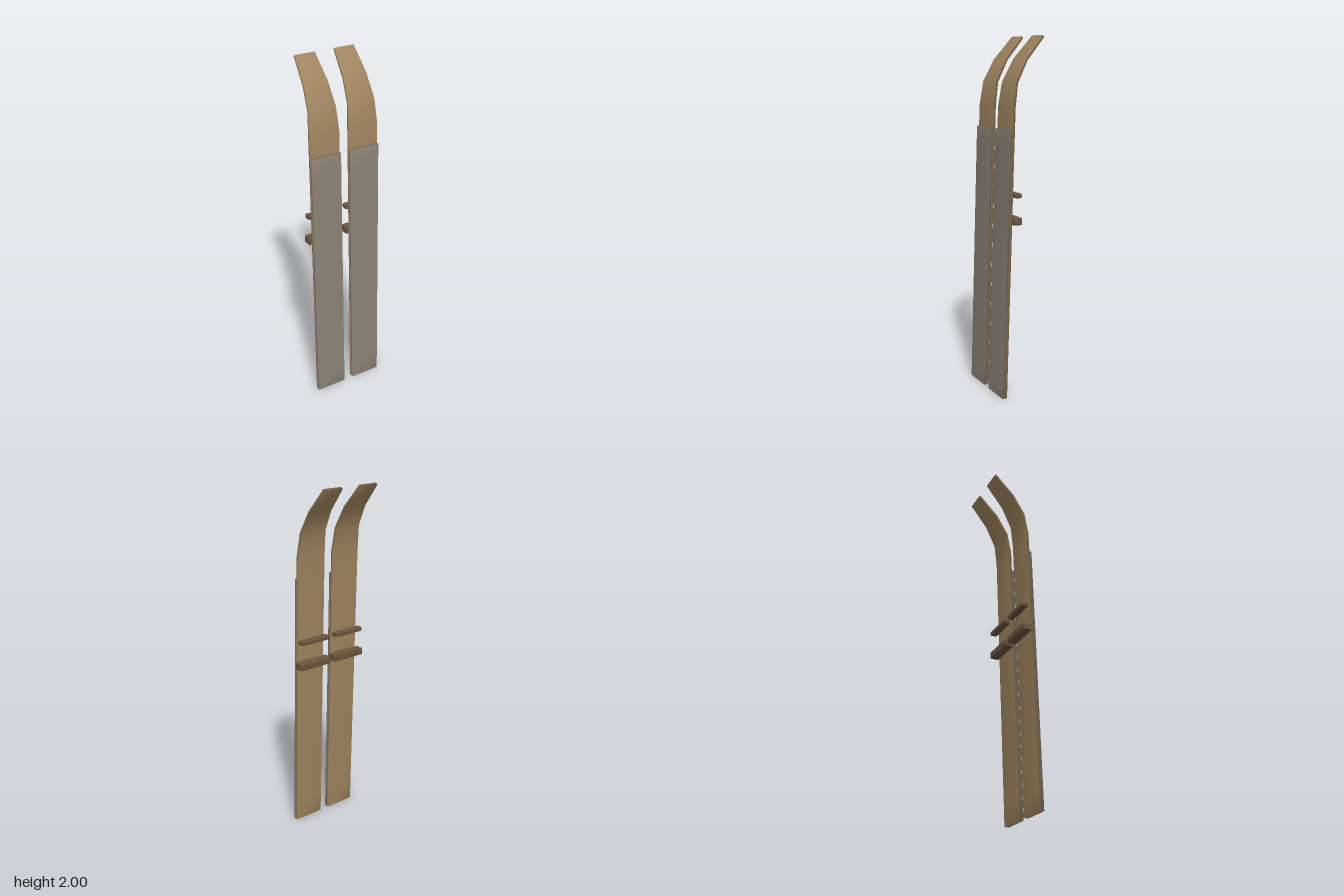
import * as THREE from 'three';
import { RoundedBoxGeometry } from 'three/addons/geometries/RoundedBoxGeometry.js';

// Sweeps a rectangular section along a side path of [y, z, halfWidth], with shared smooth corners
function plank(path, thickness) {
  const positions = [], index = [], h = thickness / 2;
  path.forEach(([y, z, w], i) => {
    const a = path[Math.max(i - 1, 0)], b = path[Math.min(i + 1, path.length - 1)];
    const n = new THREE.Vector2(-(b[1] - a[1]), b[0] - a[0]).normalize().multiplyScalar(h);
    const fy = Math.max(0, y + n.x), by = Math.max(0, y - n.x);
    positions.push(w, fy, z + n.y, -w, fy, z + n.y, -w, by, z - n.y, w, by, z - n.y);
    if (i === path.length - 1) return;
    for (let j = 0; j < 4; j++) {
      const k = (j + 1) % 4, o = i * 4;
      index.push(o + k, o + j, o + 4 + j, o + k, o + 4 + j, o + 4 + k);
    }
  });
  const t = (path.length - 1) * 4;
  index.push(0, 1, 2, 0, 2, 3, t + 3, t + 2, t + 1, t + 3, t + 1, t);
  const g = new THREE.BufferGeometry();
  g.setAttribute('position', new THREE.Float32BufferAttribute(positions, 3));
  g.setIndex(index);
  g.computeVertexNormals();
  return g;
}

export function createModel() {
  const material = (name, color) => {
    const m = new THREE.MeshStandardMaterial({ color });
    m.name = name;
    return m;
  };
  const wood = material('wood', 0xa08560);
  const hide = material('hide', 0x8c8276);
  const leather = material('dark leather', 0x6b543f);

  // Long leaning board that bends back and narrows at the tip
  const lean = (y, z) => [y, z - 0.0315 * y, 0.09];
  const woodGeometry = plank([
    ...[0, 0.13, 0.55, 1, 1.4].map((y) => lean(y, 0.1125)),
    [1.62, 0.061, 0.09], [1.75, 0.042, 0.081], [1.87, -0.021, 0.071], [1.995, -0.129, 0.059],
  ], 0.015);
  // Covering on the running face
  const hideGeometry = plank([0, 0.12, 0.55, 1, 1.38, 1.5].map((y) => lean(y, 0.1262)), 0.0135);
  const toeGeometry = new RoundedBoxGeometry(0.213, 0.042, 0.055, 1, 0.008);
  const heelGeometry = new RoundedBoxGeometry(0.198, 0.027, 0.042, 1, 0.009);

  const model = new THREE.Group();
  model.name = 'skis';
  for (const side of [-1, 1]) {
    const ski = new THREE.Group();
    ski.name = side > 0 ? 'leftSki' : 'rightSki';
    ski.position.x = side * 0.119;
    const add = (name, geometry, mat, y = 0, z = 0) => {
      const mesh = new THREE.Mesh(geometry, mat);
      mesh.name = name;
      mesh.position.set(0, y, z);
      ski.add(mesh);
    };
    add('board', woodGeometry, wood);
    add('runningSkin', hideGeometry, hide);
    // Binding bars on the back of the board
    add('toeBinding', toeGeometry, leather, 1.007, 0.0465);
    add('heelBinding', heelGeometry, leather, 1.146, 0.037);
    model.add(ski);
  }
  return model;
}
